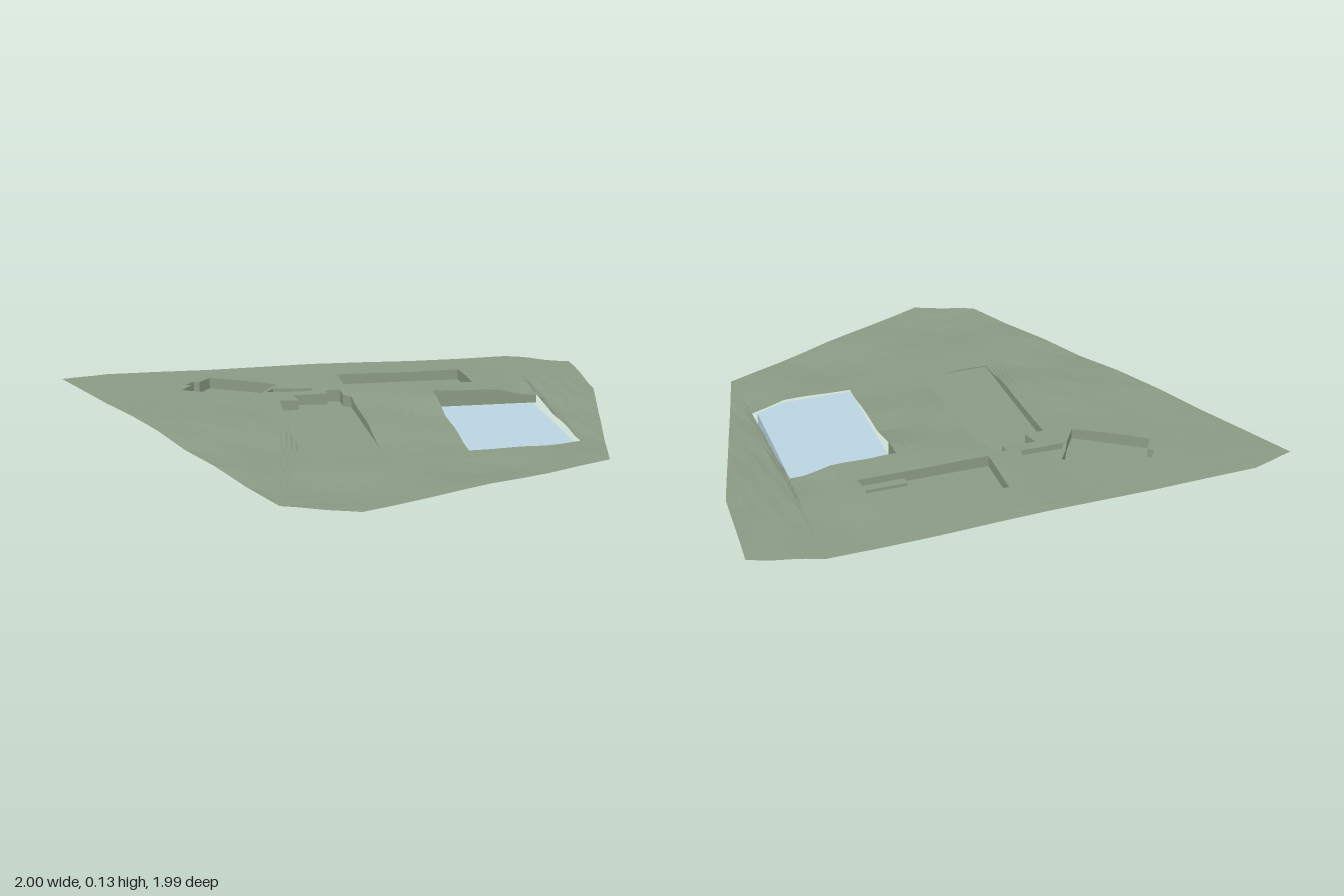
import * as THREE from 'three';

const LEVELS = 3; // midpoint subdivisions of the ground triangles

// Site boundary and cut-outs as [x, z]
const BOUNDARY = [[-0.97, -1], [-0.78, -0.985], [0.8, -0.365], [1, -0.17],
  [0.81, 0.21], [0.23, 0.975], [-0.81, 0.99], [-1, 0.8]];
const POOL_HOLE = [[0.16, 0], [0.545, 0.17], [0.32, 0.71], [0.16, 0.705], [-0.1, 0.595]];
const POOL = [[0.16, 0.005], [0.53, 0.17], [0.3, 0.7], [0.16, 0.7], [-0.1, 0.59]];
const PADS = [
  { name: 'housePad', floor: 0.085, outline: [[-0.46, -0.695], [-0.283, -0.45], [-0.34, -0.415],
    [-0.395, -0.37], [-0.48, -0.315], [-0.647, -0.572], [-0.58, -0.62], [-0.595, -0.64], [-0.545, -0.67], [-0.53, -0.65]] },
  { name: 'linkPad', floor: 0.1, outline: [[-0.33, -0.403], [-0.193, -0.33], [-0.22, -0.294], [-0.38, -0.367]] },
  { name: 'longPad', floor: 0.079, outline: [[-0.396, -0.24], [-0.326, -0.21], [-0.31, -0.283], [-0.187, -0.224],
    [-0.176, -0.262], [-0.123, -0.235], [-0.15, -0.17], [-0.134, -0.134], [-0.374, 0.44], [-0.44, 0.44], [-0.652, 0.353]] },
  { name: 'sidePad', floor: 0.085, outline: [[0.005, -0.46], [0.47, -0.257], [0.39, -0.048], [0.22, -0.118], [-0.09, -0.25]] },
];
const LEDGE = [[0.235, -0.15], [0.4, -0.08], [0.39, -0.048], [0.22, -0.118]];

// Spot heights [x, z, y]
const SPOTS = [
  [-0.97, -1, 0.132], [-0.78, -0.98, 0.13], [0, -0.68, 0.13], [0.8, -0.365, 0.122], [1, -0.17, 0.11],
  [0.81, 0.21, 0.095], [0.55, 0.55, 0.082], [0.23, 0.975, 0.075], [-0.3, 0.98, 0.08], [-0.81, 0.99, 0.077], [-1, 0.8, 0.08],
  [-0.98, 0.3, 0.1], [-0.98, -0.3, 0.128], [-0.5, -0.5, 0.131], [0, -0.25, 0.131], [0.4, -0.15, 0.13],
  [0.16, 0, 0.132], [0.35, 0.07, 0.128], [0.545, 0.17, 0.098], [0.45, 0.4, 0.078], [0.32, 0.71, 0.067],
  [-0.1, 0.595, 0.07], [0.03, 0.3, 0.09], [-0.17, 0.8, 0.062], [-0.76, 0.79, 0.066], [-0.4, 0.45, 0.079],
  [-0.65, 0.35, 0.085], [-0.25, 0.1, 0.11], [-0.55, 0.1, 0.11], [-0.7, -0.1, 0.127], [0.7, 0, 0.112],
];

// Inverse-distance blend of the spot heights
function height(x, z) {
  let sum = 0, total = 0;
  for (const [sx, sz, sy] of SPOTS) {
    const w = 1 / (((x - sx) ** 2 + (z - sz) ** 2) ** 1.5 + 1e-5);
    sum += w * sy;
    total += w;
  }
  return sum / total;
}

const toVectors = (points) => points.map(([x, z]) => new THREE.Vector2(x, z));

function makeMesh(name, positions, material) {
  const geometry = new THREE.BufferGeometry();
  geometry.setAttribute('position', new THREE.Float32BufferAttribute(positions, 3));
  geometry.computeVertexNormals();
  const mesh = new THREE.Mesh(geometry, material);
  mesh.name = name;
  return mesh;
}

// Triangulated sheet facing up, split "levels" times and lifted by heightAt
function makeSheet(name, outline, holes, levels, heightAt, material) {
  const contour = toVectors(outline);
  const inner = holes.map(toVectors);
  const points = [contour, ...inner].flat();
  const positions = [];
  const emit = (a, b, c, level) => {
    if (level === 0) {
      for (const p of [a, b, c]) positions.push(p.x, heightAt(p.x, p.y), p.y);
      return;
    }
    const mid = (p, q) => p.clone().add(q).multiplyScalar(0.5);
    const ab = mid(a, b), bc = mid(b, c), ca = mid(c, a);
    emit(a, ab, ca, level - 1);
    emit(ab, b, bc, level - 1);
    emit(ca, bc, c, level - 1);
    emit(ab, bc, ca, level - 1);
  };
  for (const [i, j, k] of THREE.ShapeUtils.triangulateShape(contour, inner)) {
    const a = points[i], b = points[j], c = points[k];
    const turn = (b.x - a.x) * (c.y - a.y) - (b.y - a.y) * (c.x - a.x);
    if (turn > 0) emit(a, c, b, levels);
    else emit(a, b, c, levels);
  }
  return makeMesh(name, positions, material);
}

// Vertical wall strips along edges, from floor up to topAt
function makeWalls(name, edges, floor, topAt, material) {
  const positions = [];
  const steps = 2 ** LEVELS;
  for (const [[x0, z0], [x1, z1]] of edges) {
    for (let i = 0; i < steps; i++) {
      const [s, t] = [i / steps, (i + 1) / steps];
      const xa = x0 + (x1 - x0) * s, za = z0 + (z1 - z0) * s;
      const xb = x0 + (x1 - x0) * t, zb = z0 + (z1 - z0) * t;
      const ya = topAt(xa, za), yb = topAt(xb, zb);
      positions.push(xa, floor, za, xb, floor, zb, xb, yb, zb);
      positions.push(xa, floor, za, xb, yb, zb, xa, ya, za);
    }
  }
  return makeMesh(name, positions, material);
}

const edgesOf = (outline) => outline.map((p, i) => [p, outline[(i + 1) % outline.length]]);

export function createModel() {
  const model = new THREE.Group();
  model.name = 'site';
  const earth = new THREE.MeshStandardMaterial({ color: 0x8a9a84, flatShading: true, side: THREE.DoubleSide });
  const water = new THREE.MeshStandardMaterial({ color: 0xbad4e0 });

  // Sloping ground with cut-outs
  const holes = [POOL_HOLE, ...PADS.map((pad) => pad.outline)];
  model.add(makeSheet('ground', BOUNDARY, holes, LEVELS, height, earth));

  // Sunken building pads
  for (const { name, floor, outline } of PADS) {
    const pad = new THREE.Group();
    pad.name = name;
    pad.add(makeSheet(name + 'Floor', outline, [], 0, () => floor, earth));
    pad.add(makeWalls(name + 'Walls', edgesOf(outline), floor, height, earth));
    model.add(pad);
  }

  // Raised ledge on the side pad
  model.add(makeSheet('ledgeTop', LEDGE, [], 0, () => 0.098, earth));
  model.add(makeWalls('ledgeSides', edgesOf(LEDGE), 0.085, () => 0.098, earth));

  // Retaining wall behind the pool, returning a little around the corner
  const retaining = [[[0.12, 0.091], POOL_HOLE[0]], [POOL_HOLE[0], POOL_HOLE[1]]];
  model.add(makeWalls('retainingWall', retaining, 0.065, height, earth));

  // Solid pool block
  const poolShape = new THREE.Shape(POOL.map(([x, z]) => new THREE.Vector2(x, -z)));
  const poolGeometry = new THREE.ExtrudeGeometry(poolShape, { depth: 0.065, bevelEnabled: false });
  poolGeometry.rotateX(-Math.PI / 2);
  const pool = new THREE.Mesh(poolGeometry, water);
  pool.name = 'pool';
  model.add(pool);

  return model;
}
